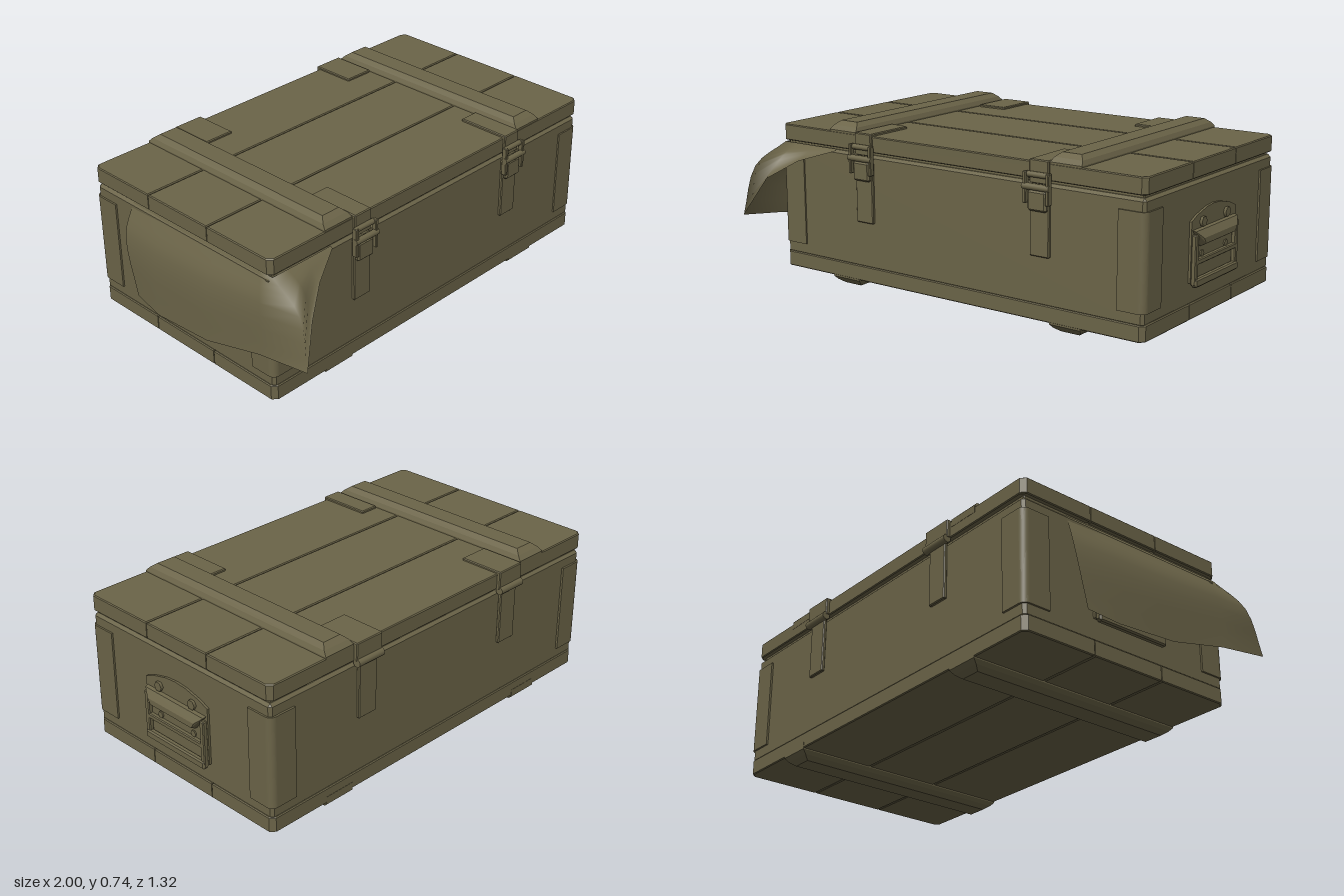
import * as THREE from 'three';
import { ConvexGeometry } from 'three/addons/geometries/ConvexGeometry.js';

const olive = new THREE.MeshStandardMaterial({ color: 0x6b6448, side: THREE.DoubleSide });
olive.name = 'oliveDrab';

const V = (x, y, z) => new THREE.Vector3(x, y, z);
const CX = 0.005, CZ = -0.1; // centre of the crate

function add(parent, name, geometry) {
  const mesh = new THREE.Mesh(geometry, olive);
  mesh.name = name;
  parent.add(mesh);
  return mesh;
}

// Box between two corners with all edges chamfered by c
function slab(parent, name, [x0, y0, z0], [x1, y1, z1], c = 0.005) {
  const pts = [];
  for (const [x, i] of [[x0, c], [x1, -c]])
    for (const [y, j] of [[y0, c], [y1, -c]])
      for (const [z, k] of [[z0, c], [z1, -c]])
        pts.push(V(x, y + j, z + k), V(x + i, y, z + k), V(x + i, y + j, z));
  return add(parent, name, new ConvexGeometry(pts));
}

// Cylinder lying along x or z
function rod(parent, name, r, length, axis, [x, y, z], sides = 16) {
  const g = new THREE.CylinderGeometry(r, r, length, sides);
  if (axis === 'x') g.rotateZ(Math.PI / 2);
  if (axis === 'z') g.rotateX(Math.PI / 2);
  g.translate(x, y, z);
  return add(parent, name, g);
}

// Three planks side by side; the outer two have clipped outer corners
function planks(parent, name, y0, y1) {
  const cuts = [-0.632, -0.282, 0.074, 0.434], c = 0.02;
  for (let i = 0; i < 3; i++) {
    const z0 = cuts[i] + (i ? 0.002 : 0), z1 = cuts[i + 1] - (i < 2 ? 0.002 : 0);
    const a = i === 0 ? c : 0, b = i === 2 ? c : 0;
    const pts = [];
    for (const [y, e] of [[y0, 0.004], [y0 + 0.004, 0], [y1 - 0.004, 0], [y1, 0.004]])
      for (const s of [-1, 1]) {
        const x = 0.95 - e;
        pts.push(V(CX + s * x, y, z0 + e + a), V(CX + s * (x - a), y, z0 + e),
          V(CX + s * x, y, z1 - e - b), V(CX + s * (x - b), y, z1 - e));
      }
    add(parent, name, new ConvexGeometry(pts));
  }
}

// Cross batten with a sloped outer face
function batten(parent, name, x, base, shoulder, outer) {
  const pts = [];
  for (const [y, w, d] of [[base, 0.075, 0.533], [shoulder, 0.075, 0.533],
    [(shoulder + outer) / 2, 0.066, 0.515], [outer, 0.045, 0.49]])
    for (const s of [-1, 1]) for (const t of [-1, 1]) pts.push(V(x + s * w, y, CZ + t * d));
  add(parent, name, new ConvexGeometry(pts));
}

// L-shaped plate wrapped round a rounded vertical corner
function cornerPlate(parent, sx, sz) {
  const s = new THREE.Shape(), r = 0.03, t = 0.014;
  s.moveTo(-0.125, 0);
  s.lineTo(-r, 0);
  s.absarc(-r, -r, r, Math.PI / 2, 0, true);
  s.lineTo(0, -0.13);
  s.lineTo(-t, -0.13);
  s.lineTo(-t, -r);
  s.absarc(-r, -r, r - t, 0, Math.PI / 2, false);
  s.lineTo(-0.125, -t);
  const g = new THREE.ExtrudeGeometry(s, { depth: 0.405, bevelEnabled: false, curveSegments: 6 });
  g.rotateX(Math.PI / 2);
  const m = add(parent, 'cornerPlate', g);
  // rotate by quarter turns; swapped arms are nearly equal in length
  m.rotation.y = sx > 0 ? (sz > 0 ? 0 : Math.PI / 2) : (sz > 0 ? -Math.PI / 2 : Math.PI);
  m.position.set(CX + sx * 0.953, 0.56, CZ + sz * 0.536);
}

// Folding carry handle on an end wall, facing +x
function makeHandle() {
  const h = new THREE.Group();
  h.name = 'carryHandle';
  // mounting plate, drawn in (z, y)
  const outline = [[0.185, 0.2], [0.185, 0.455], [0.14, 0.475], [0.06, 0.495], [0, 0.5],
    [-0.06, 0.495], [-0.14, 0.475], [-0.185, 0.455], [-0.185, 0.2]];
  const plate = new THREE.ExtrudeGeometry(
    new THREE.Shape(outline.map(([z, y]) => new THREE.Vector2(-z, y))),
    { depth: 0.01, bevelEnabled: false });
  plate.rotateY(Math.PI / 2);
  add(h, 'handlePlate', plate);
  for (const z of [-0.1, 0.1]) {
    rod(h, 'bolt', 0.022, 0.022, 'x', [0.011, 0.443, z], 6);
    rod(h, 'boltLower', 0.015, 0.014, 'x', [0.009, 0.31, z], 6);
    slab(h, 'handleArm', [0.008, 0.19, z * 1.68 - 0.012], [0.03, 0.4, z * 1.68 + 0.012], 0.004);
  }
  // sloped grip and swinging frame
  const grip = [];
  for (const [x, y, d] of [[0.005, 0.42, 0.178], [0.025, 0.415, 0.175], [0.045, 0.385, 0.14],
    [0.045, 0.36, 0.125], [0.02, 0.345, 0.12], [0.005, 0.345, 0.12]])
    for (const s of [-1, 1]) grip.push(V(x, y, s * d));
  add(h, 'handleGrip', new ConvexGeometry(grip));
  slab(h, 'frameTop', [0.008, 0.275, -0.17], [0.03, 0.298, 0.17], 0.004);
  slab(h, 'frameBottom', [0.008, 0.182, -0.178], [0.035, 0.218, 0.178], 0.006);
  h.position.z = -0.098;
  return h;
}

// Front latch centred on x
function latch(parent, x) {
  const l = new THREE.Group();
  l.name = 'latch';
  parent.add(l);
  slab(l, 'latchTopStrap', [x - 0.046, 0.69, 0.2], [x + 0.046, 0.708, 0.445], 0.004);
  slab(l, 'latchLidLip', [x - 0.046, 0.61, 0.43], [x + 0.046, 0.708, 0.446], 0.004);
  slab(l, 'latchStrap', [x - 0.047, 0.31, 0.425], [x + 0.047, 0.6, 0.442], 0.004);
  slab(l, 'buckle', [x - 0.045, 0.5, 0.438], [x + 0.045, 0.585, 0.464], 0.008);
  rod(l, 'bucklePin', 0.014, 0.13, 'x', [x, 0.6, 0.462], 10);
  rod(l, 'buckleHook', 0.012, 0.11, 'x', [x, 0.648, 0.452], 10);
  for (const s of [-1, 1])
    slab(l, 'buckleLink', [x + s * 0.055 - 0.008, 0.53, 0.445], [x + s * 0.055 + 0.008, 0.66, 0.47], 0.003);
}

// Rear hinge centred on x
function hinge(parent, x) {
  const g = new THREE.Group();
  g.name = 'hinge';
  parent.add(g);
  slab(g, 'hingeTopLeaf', [x - 0.072, 0.69, -0.64], [x + 0.072, 0.707, -0.44], 0.004);
  slab(g, 'hingeLidLip', [x - 0.072, 0.625, -0.648], [x + 0.072, 0.707, -0.628], 0.004);
  slab(g, 'hingeStrap', [x - 0.05, 0.36, -0.642], [x + 0.05, 0.62, -0.625], 0.004);
  rod(g, 'hingeBarrel', 0.018, 0.14, 'x', [x, 0.62, -0.645], 12);
}

// Cloth caught under the lid: each column runs from the lid edge to the free hem
function cloth() {
  const columns = [
    [[-0.93, 0.615, -0.4], [-0.978, 0.47, -0.41], [-0.985, 0.2, -0.35]],
    [[-0.93, 0.617, -0.2], [-0.992, 0.47, -0.2], [-1.0, 0.18, -0.2]],
    [[-0.93, 0.617, 0.1], [-0.99, 0.48, 0.12], [-0.998, 0.2, 0.1]],
    [[-0.93, 0.617, 0.36], [-0.975, 0.51, 0.4], [-0.985, 0.275, 0.4]],
    [[-0.93, 0.617, 0.43], [-0.955, 0.53, 0.6], [-0.978, 0.315, 0.66]],
    [[-0.85, 0.617, 0.43], [-0.86, 0.575, 0.52], [-0.89, 0.48, 0.6]],
    [[-0.75, 0.617, 0.43], [-0.76, 0.59, 0.47], [-0.77, 0.56, 0.52]],
    [[-0.62, 0.617, 0.428], [-0.62, 0.614, 0.434], [-0.62, 0.61, 0.438]],
  ].map(c => new THREE.CatmullRomCurve3(c.map(p => V(...p))).getPoints(8));
  const pos = [], index = [];
  columns.forEach((col, i) => col.forEach((p, j) => {
    pos.push(p.x, p.y, p.z);
    if (i && j) {
      const a = (i - 1) * 9 + j - 1, b = i * 9 + j - 1;
      index.push(a, a + 1, b, b, a + 1, b + 1);
    }
  }));
  const g = new THREE.BufferGeometry();
  g.setAttribute('position', new THREE.Float32BufferAttribute(pos, 3));
  g.setIndex(index);
  g.computeVertexNormals();
  return g;
}

export function createModel() {
  const crate = new THREE.Group();
  crate.name = 'storageCrate';

  // Body, base planks and lid planks
  slab(crate, 'body', [CX - 0.945, 0.1, -0.627], [CX + 0.945, 0.612, 0.429], 0.012);
  slab(crate, 'lidCore', [CX - 0.93, 0.6, -0.61], [CX + 0.93, 0.64, 0.412], 0.004);
  planks(crate, 'basePlank', 0.04, 0.11);
  planks(crate, 'lidPlank', 0.625, 0.697);

  // Battens above and below
  for (const x of [-0.58, 0.59]) {
    batten(crate, 'lidBatten', x, 0.67, 0.703, 0.74);
    batten(crate, 'baseBatten', x, 0.07, 0.035, 0);
  }

  for (const sx of [-1, 1]) for (const sz of [-1, 1]) cornerPlate(crate, sx, sz);

  // Metal fittings
  for (const x of [-0.455, 0.47]) latch(crate, x);
  for (const x of [-0.425, 0.44]) hinge(crate, x);
  const right = makeHandle(), left = makeHandle();
  right.position.x = 0.952;
  left.position.x = -0.942;
  left.rotation.y = Math.PI;
  crate.add(right, left);

  add(crate, 'clothCover', cloth());
  return crate;
}
